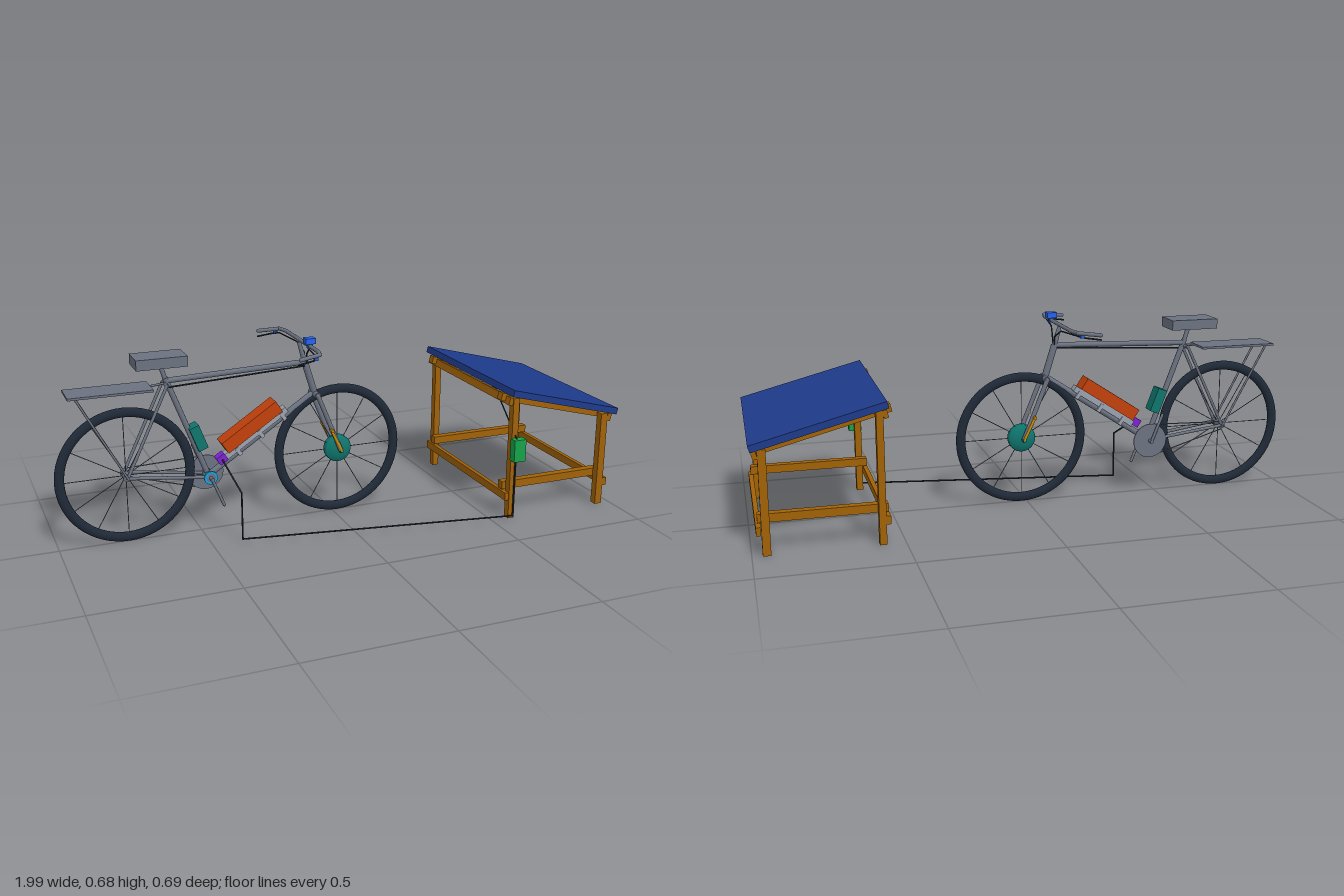
import * as THREE from 'three';

const mat = (color, double) => new THREE.MeshStandardMaterial({ color, side: double ? THREE.DoubleSide : THREE.FrontSide });
const M = {
  frame: mat(0x6b7280), tyre: mat(0x1f2937), wood: mat(0xa16207), panel: mat(0x1e3a8a),
  orange: mat(0xc2410c), teal: mat(0x0f766e), green: mat(0x16a34a), blue: mat(0x2563eb),
  purple: mat(0x7e22ce), sky: mat(0x0ea5e9), silver: mat(0x9ca3af), brass: mat(0xca8a04),
};
const V = (p) => new THREE.Vector3(...p);

export function createModel() {
  const model = new THREE.Group();
  const add = (parent, name, geo, m, pos = [0, 0, 0], rotZ = 0) => {
    const mesh = new THREE.Mesh(geo, m);
    mesh.name = name;
    mesh.position.set(...pos);
    mesh.rotation.z = rotZ;
    parent.add(mesh);
    return mesh;
  };
  const box = (parent, name, size, pos, m, rotZ = 0) =>
    add(parent, name, new THREE.BoxGeometry(...size), m, pos, rotZ);
  // Round bar between two points
  const bar = (parent, name, a, b, r, m, r2 = r) => {
    const A = V(a), B = V(b), d = B.clone().sub(A);
    const mesh = add(parent, name, new THREE.CylinderGeometry(r2, r, d.length(), 12), m);
    mesh.position.copy(A).add(B).multiplyScalar(0.5);
    mesh.quaternion.setFromUnitVectors(new THREE.Vector3(0, 1, 0), d.normalize());
    return mesh;
  };
  // Bent run of bars with rounded joints
  const run = (parent, name, pts, r, m) => {
    const g = new THREE.Group();
    g.name = name;
    parent.add(g);
    pts.forEach((p, i) => {
      if (i) bar(g, name + 'Segment', pts[i - 1], p, r, m);
      add(g, name + 'Joint', new THREE.SphereGeometry(r, 10, 8), m, p);
    });
    return g;
  };
  const disc = (parent, name, r, depth, pos, m) => {
    const d = add(parent, name, new THREE.CylinderGeometry(r, r, depth, 32), m, pos);
    d.rotation.x = Math.PI / 2;
    return d;
  };

  // ---------- Bicycle ----------
  const bike = new THREE.Group();
  bike.name = 'bicycle';
  model.add(bike);
  const R = 0.242, rear = [-0.758, R], front = [0.02, R], crank = [-0.468, 0.203];
  const seatTop = [-0.607, 0.572], headTop = [-0.104, 0.578], headLow = [-0.067, 0.457];

  for (const [name, c] of [['rearWheel', rear], ['frontWheel', front]]) {
    const wheel = new THREE.Group();
    wheel.name = name;
    wheel.position.set(c[0], c[1], 0);
    bike.add(wheel);
    const tyre = add(wheel, 'tyre', new THREE.TorusGeometry(R - 0.017, 0.017, 14, 64), M.tyre);
    tyre.scale.z = 0.75;
    for (let i = 0; i < 12; i++) {
      const a = (i * Math.PI) / 6;
      bar(wheel, 'spoke', [0, 0, 0], [0.21 * Math.cos(a), 0.21 * Math.sin(a), 0], 0.0015, M.frame);
    }
  }
  disc(bike, 'rearHub', 0.014, 0.06, [...rear, 0], M.frame);
  bar(bike, 'rearAxle', [...rear, -0.042], [...rear, 0.042], 0.005, M.frame);
  // Hub motor with tapered sides
  const hub = [[0, -0.026], [0.026, -0.026], [0.048, -0.014], [0.05, -0.01], [0.05, 0.01], [0.048, 0.014], [0.026, 0.026], [0, 0.026]];
  add(bike, 'hubMotor', new THREE.LatheGeometry(hub.map((p) => new THREE.Vector2(...p)), 32), M.teal, [...front, 0]).rotation.x = Math.PI / 2;
  bar(bike, 'frontAxle', [...front, -0.05], [...front, 0.05], 0.006, M.teal);

  // Main frame
  bar(bike, 'seatTube', [...crank, 0], [...seatTop, 0], 0.01, M.frame);
  bar(bike, 'topTube', [-0.602, 0.562, 0], [...headTop, 0], 0.01, M.frame);
  bar(bike, 'downTube', [...crank, 0], [-0.06, 0.47, 0], 0.011, M.frame);
  bar(bike, 'headTube', [...headLow, 0], [...headTop, 0], 0.0125, M.frame);
  bar(bike, 'stem', [...headTop, 0], [-0.125, 0.652, 0], 0.01, M.frame, 0.007);
  disc(bike, 'bottomBracket', 0.017, 0.07, [...crank, 0], M.frame);
  bar(bike, 'brakeCable', [-0.6, 0.54, 0.008], [-0.1, 0.566, 0.008], 0.003, M.tyre);
  bar(bike, 'forkCrown', [...headLow, -0.035], [...headLow, 0.035], 0.012, M.frame);
  bar(bike, 'seatBridge', [...seatTop.slice(0, 1), 0.55, -0.03], [-0.607, 0.55, 0.03], 0.007, M.frame);
  for (const s of [-1, 1]) {
    run(bike, 'seatStay', [[...rear, s * 0.034], [-0.61, 0.55, s * 0.031]], 0.0055, M.frame);
    run(bike, 'chainStay', [[...rear, s * 0.034], [crank[0], crank[1], s * 0.024]], 0.006, M.frame);
    run(bike, 'forkLeg', [[...headLow, s * 0.035], [...front, s * 0.038]], 0.0085, M.frame);
    run(bike, 'forkTorqueArm', [[-0.02, 0.325, s * 0.046], [...front, s * 0.046]], 0.005, M.brass);
    bar(bike, 'forkClamp', [-0.018, 0.325, s * 0.03], [-0.018, 0.325, s * 0.056], 0.006, M.brass);
    bar(bike, 'rackStrut', [...rear, s * 0.04], [-0.92, 0.546, s * 0.043], 0.004, M.frame);
  }

  // Saddle and rear rack
  bar(bike, 'seatPost', [-0.607, 0.57, 0], [-0.622, 0.62, 0], 0.008, M.frame);
  box(bike, 'saddle', [0.176, 0.036, 0.104], [-0.626, 0.636, 0], M.frame);
  box(bike, 'rearRack', [0.285, 0.008, 0.114], [-0.802, 0.547, 0], M.frame);
  bar(bike, 'rackStay', [-0.67, 0.547, 0], [-0.6, 0.555, 0], 0.004, M.frame);

  // Handlebar, levers, display
  run(bike, 'handlebar', [[-0.2, 0.648, -0.228], [-0.125, 0.655, -0.205], [-0.115, 0.655, -0.16],
    [-0.115, 0.655, 0.16], [-0.125, 0.655, 0.205], [-0.2, 0.648, 0.222]], 0.007, M.frame);
  for (const s of [-1, 1]) {
    run(bike, 'brakeLever', [[-0.13, 0.642, s * 0.195], [-0.15, 0.638, s * 0.212], [-0.205, 0.63, s * 0.218]], 0.003, M.tyre);
    box(bike, 'leverSensor', [0.014, 0.01, 0.01], [-0.14, 0.642, s * 0.208], M.blue);
    run(bike, 'leverCable', [[-0.13, 0.642, s * 0.195], [-0.11, 0.638, s * 0.06], [-0.1, 0.61, s * 0.012], [-0.1, 0.566, s * 0.008]], 0.0025, M.tyre);
  }
  box(bike, 'display', [0.036, 0.02, 0.03], [-0.115, 0.674, 0.08], M.blue);
  box(bike, 'displayBracket', [0.018, 0.022, 0.015], [-0.115, 0.658, 0.08], M.blue);

  // Battery on its cradle above the down tube
  const slope = Math.atan2(0.267, 0.408);
  const pack = new THREE.Group();
  pack.name = 'batteryPack';
  pack.position.set(-0.272, 0.33, 0);
  pack.rotation.z = slope;
  bike.add(pack);
  box(pack, 'batteryCradle', [0.27, 0.022, 0.034], [-0.01, 0.02, 0], M.silver);
  box(pack, 'battery', [0.24, 0.046, 0.062], [-0.012, 0.054, 0], M.orange);
  for (const x of [-0.1, 0, 0.1]) box(pack, 'cradleBand', [0.014, 0.032, 0.04], [x, 0.008, 0], M.silver);
  box(bike, 'chargePort', [0.034, 0.03, 0.034], [-0.425, 0.267, 0.02], M.purple, slope);
  box(bike, 'controller', [0.036, 0.09, 0.05], [-0.503, 0.35, 0], M.teal, 0.36);

  // Crankset
  disc(bike, 'chainring', 0.064, 0.004, [...crank, -0.033], M.frame);
  disc(bike, 'pedalSensor', 0.024, 0.008, [...crank, 0.031], M.sky);
  bar(bike, 'crankAxle', [...crank, -0.056], [...crank, 0.056], 0.007, M.frame);
  for (const s of [-1, 1])
    run(bike, 'crankArm', [[...crank, s * 0.051], [crank[0] + s * 0.04, crank[1] - s * 0.1, s * 0.051]], 0.0055, M.frame);
  for (const y of [-1, 1])
    bar(bike, 'chain', [crank[0], crank[1] + y * 0.062, -0.033], [rear[0], rear[1] + y * 0.014, -0.033], 0.002, M.frame);

  // ---------- Charging table ----------
  const table = new THREE.Group();
  table.name = 'solarTable';
  model.add(table);
  const tilt = -Math.atan2(0.115, 0.44);
  box(table, 'solarPanel', [0.455, 0.024, 0.681], [0.771, 0.423, -0.0025], M.panel, tilt);
  for (const s of [-1, 1]) {
    const z = s * 0.303;
    box(table, 'frontLeg', [0.024, 0.455, 0.028], [0.576, 0.2275, z], M.wood);
    box(table, 'rearLeg', [0.027, 0.355, 0.028], [0.952, 0.1775, z], M.wood);
    box(table, 'slopedRail', [0.462, 0.028, 0.029], [0.757, 0.399, s * 0.271], M.wood, tilt);
    box(table, 'lowerSideRail', [0.425, 0.029, 0.029], [0.764, 0.118, s * 0.271], M.wood);
  }
  for (const [x, top] of [[0.557, 0.444], [0.975, 0.338]]) {
    box(table, 'lowerCrossRail', [0.016, 0.029, 0.632], [x, 0.085, -0.002], M.wood);
    box(table, 'upperCrossRail', [0.016, 0.028, 0.632], [x, top, -0.002], M.wood, tilt);
  }

  // Charger, junction disc and cables
  box(table, 'charger', [0.046, 0.082, 0.031], [0.583, 0.267, 0.331], M.green);
  add(table, 'panelJunction', new THREE.CylinderGeometry(0.02, 0.02, 0.012, 20), M.tyre, [0.6, 0.448, 0.14], tilt);
  run(table, 'panelCable', [[0.576, 0.307, 0.331], [0.59, 0.445, 0.14]], 0.0025, M.tyre);
  run(model, 'chargingCable', [[0.575, 0.23, 0.33], [0.575, 0.014, 0.33], [-0.398, 0.014, 0.165],
    [-0.398, 0.185, 0.165], [-0.425, 0.265, 0.035]], 0.003, M.tyre);

  return model;
}
